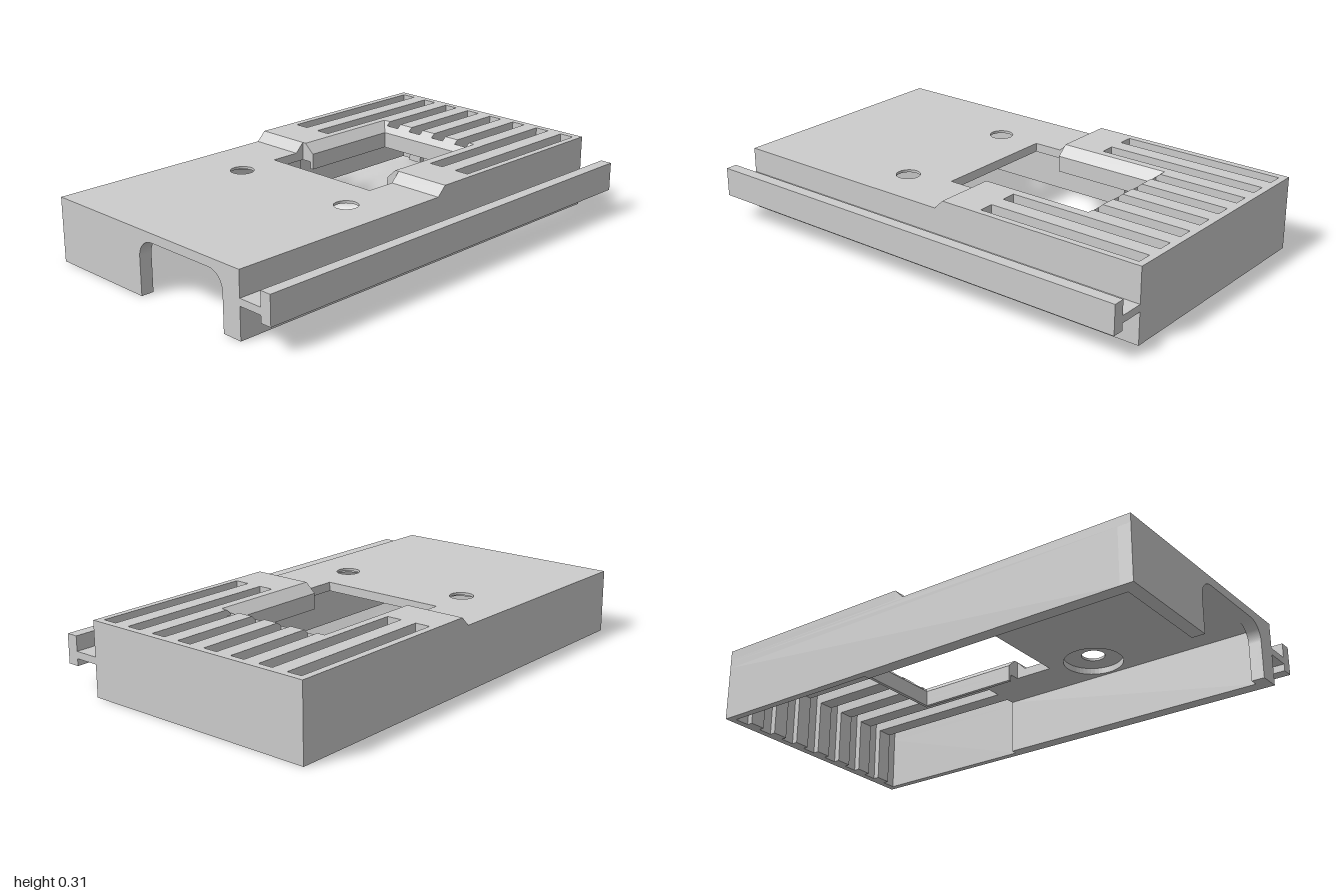
import * as THREE from 'three';

const plastic = new THREE.MeshStandardMaterial({ color: 0xcccccc });
plastic.name = 'grey plastic';

// Overall outline and main heights
const L = -0.61, R = 0.452, UNDER = 0.235, DECK = 0.273, TOP = 0.313, WALL = 0.055;
// Window: rear and side edges at deck level and at the raised level
const REAR = -0.535, REAR_TOP = -0.58, LEFT = -0.30, LEFT_TOP = -0.345, RIGHT = 0.14, RIGHT_TOP = 0.185;
// Wider front part of the window
const WIDE_L = -0.362, WIDE_R = 0.203, STEP = -0.08;

// Eight slots; the middle four stop at the window, the outer four run further forward
const SLOT_BACK = -0.97, SHORT_END = -0.562, LONG_END = -0.25;
const slots = [];
for (let i = 0; i < 8; i++) {
  const x0 = -0.579 + i * 0.134;
  const short = i >= 2 && i <= 5;
  slots.push({ x0, x1: x0 + 0.065, short, z1: short ? SHORT_END : LONG_END });
}
const shortSlots = slots.filter(s => s.short), longSlots = slots.filter(s => !s.short);

const flat = pts => new THREE.Shape(pts.map(([a, b]) => new THREE.Vector2(a, -b)));
// Corners run counter-clockwise so the rectangle also works as a hole
const rect = (x0, x1, z0, z1) => flat([[x0, z0], [x0, z1], [x1, z1], [x1, z0]]);
function disc(x, z, r) {
  const p = new THREE.Path();
  p.absarc(x, -z, r, 0, Math.PI * 2);
  return p;
}

export function createModel() {
  const group = new THREE.Group();
  const add = (name, geometry) => {
    const mesh = new THREE.Mesh(geometry, plastic);
    mesh.name = name;
    group.add(mesh);
  };
  const extrude = (shape, depth) =>
    new THREE.ExtrudeGeometry(shape, { depth, bevelEnabled: false, curveSegments: 24 });

  // Floor-plan shape (x, z) raised from y0 to y1
  const slab = (name, shape, y0, y1, holes = []) => {
    shape.holes.push(...holes);
    add(name, extrude(shape, y1 - y0).rotateX(-Math.PI / 2).translate(0, y0, 0));
  };
  // Profile (z, y) run along x
  const alongX = (name, pts, x0, x1) => {
    const s = new THREE.Shape(pts.map(([z, y]) => new THREE.Vector2(-z, y)));
    add(name, extrude(s, x1 - x0).rotateY(Math.PI / 2).translate(x0, 0, 0));
  };
  // Profile (x, y) run along z
  const alongZ = (name, shape, z0, z1) => add(name, extrude(shape, z1 - z0).translate(0, 0, z0));
  const profile = pts => new THREE.Shape(pts.map(([x, y]) => new THREE.Vector2(x, y)));
  const slotHoles = list => list.map(s => rect(s.x0, s.x1, SLOT_BACK, s.z1));

  // Deck in two layers: wide screw recesses below, small holes above
  for (const [y0, y1, r, name] of [[UNDER, 0.262, 0.127, 'deckUnderside'], [0.262, DECK, 0.05, 'deckSkin']]) {
    const window = flat([
      [LEFT, REAR], [LEFT, STEP], [WIDE_L, STEP], [WIDE_L, 0.09],
      [WIDE_R, 0.09], [WIDE_R, STEP], [RIGHT, STEP], [RIGHT, REAR],
    ]);
    slab(name, rect(L, R, -1, 1), y0, y1,
      [window, disc(-0.353, 0.278, r), disc(0.256, 0.278, r), ...slotHoles(slots)]);
  }

  // Raised rear deck: U shape, with the short slots open to the window edge
  const rim = [[L, -1], [R, -1], [R, STEP], [RIGHT_TOP, STEP], [RIGHT_TOP, REAR_TOP]];
  for (const s of [...shortSlots].reverse()) {
    rim.push([s.x1, REAR_TOP], [s.x1, SLOT_BACK], [s.x0, SLOT_BACK], [s.x0, REAR_TOP]);
  }
  rim.push([LEFT_TOP, REAR_TOP], [LEFT_TOP, STEP], [L, STEP]);
  slab('raisedDeck', flat(rim), DECK, TOP, slotHoles(longSlots));

  // Ramps up to the raised deck
  for (const [x0, x1] of [[L, WIDE_L], [WIDE_R, R]]) {
    alongX('ramp', [[STEP, DECK], [STEP, TOP], [-0.04, DECK]], x0, x1);
  }

  // Sloped edges of the window, notched where the short slots meet the rear one
  alongZ('windowSlope', profile([[LEFT_TOP, DECK], [LEFT, DECK], [LEFT_TOP, TOP]]), REAR_TOP, STEP);
  alongZ('windowSlope', profile([[RIGHT_TOP, DECK], [RIGHT_TOP, TOP], [RIGHT, DECK]]), REAR_TOP, STEP);
  const notchTop = DECK + (TOP - DECK) * (REAR - SHORT_END) / (REAR - REAR_TOP);
  let x = LEFT_TOP;
  for (const s of shortSlots) {
    alongX('rearSlope', [[REAR_TOP, DECK], [REAR_TOP, TOP], [REAR, DECK]], x, s.x0);
    alongX('slopeNotch', [[SHORT_END, DECK], [SHORT_END, notchTop], [REAR, DECK]], s.x0, s.x1);
    x = s.x1;
  }
  alongX('rearSlope', [[REAR_TOP, DECK], [REAR_TOP, TOP], [REAR, DECK]], x, RIGHT_TOP);

  // Thin collar hanging below the window
  const c = 0.015;
  slab('windowCollar', flat([
    [LEFT - c, STEP], [LEFT - c, REAR - c], [RIGHT + c, REAR - c], [RIGHT + c, STEP],
    [RIGHT, STEP], [RIGHT, REAR], [LEFT, REAR], [LEFT, STEP],
  ]), 0.204, UNDER);

  // Side and rear walls, grooved inside by the slots
  const front = 1 - WALL, back = -1 + WALL, inL = L + WALL, inR = R - WALL;
  const walls = [[L, front], [L, -1], [R, -1], [R, front], [inR, front], [inR, LONG_END]];
  for (const s of [...slots].reverse()) {
    walls.push([s.x1, s.x1 > inR ? LONG_END : back], [s.x1, SLOT_BACK],
      [s.x0, SLOT_BACK], [s.x0, s.x0 < inL ? LONG_END : back]);
  }
  walls.push([inL, LONG_END], [inL, front]);
  slab('sideAndRearWalls', flat(walls), 0, UNDER);

  // Front wall halves around the rounded opening
  const r = 0.075, openL = -0.113, openR = 0.361;
  const leftHalf = profile([[L, UNDER], [L, 0], [openL, 0]]);
  leftHalf.absarc(openL + r, UNDER - r, r, Math.PI, Math.PI / 2, true);
  alongZ('frontWall', leftHalf, front, 1);
  const rightHalf = profile([[R, UNDER], [R, 0], [openR, 0]]);
  rightHalf.absarc(openR - r, UNDER - r, r, 0, Math.PI / 2, false);
  alongZ('frontWall', rightHalf, front, 1);

  // T-shaped side rail
  alongZ('sideRail', profile([
    [R, 0.135], [0.56, 0.135], [0.56, 0.105], [0.61, 0.105],
    [0.61, 0.228], [0.56, 0.228], [0.56, 0.165], [R, 0.165],
  ]), -1, 1);

  return group;
}
